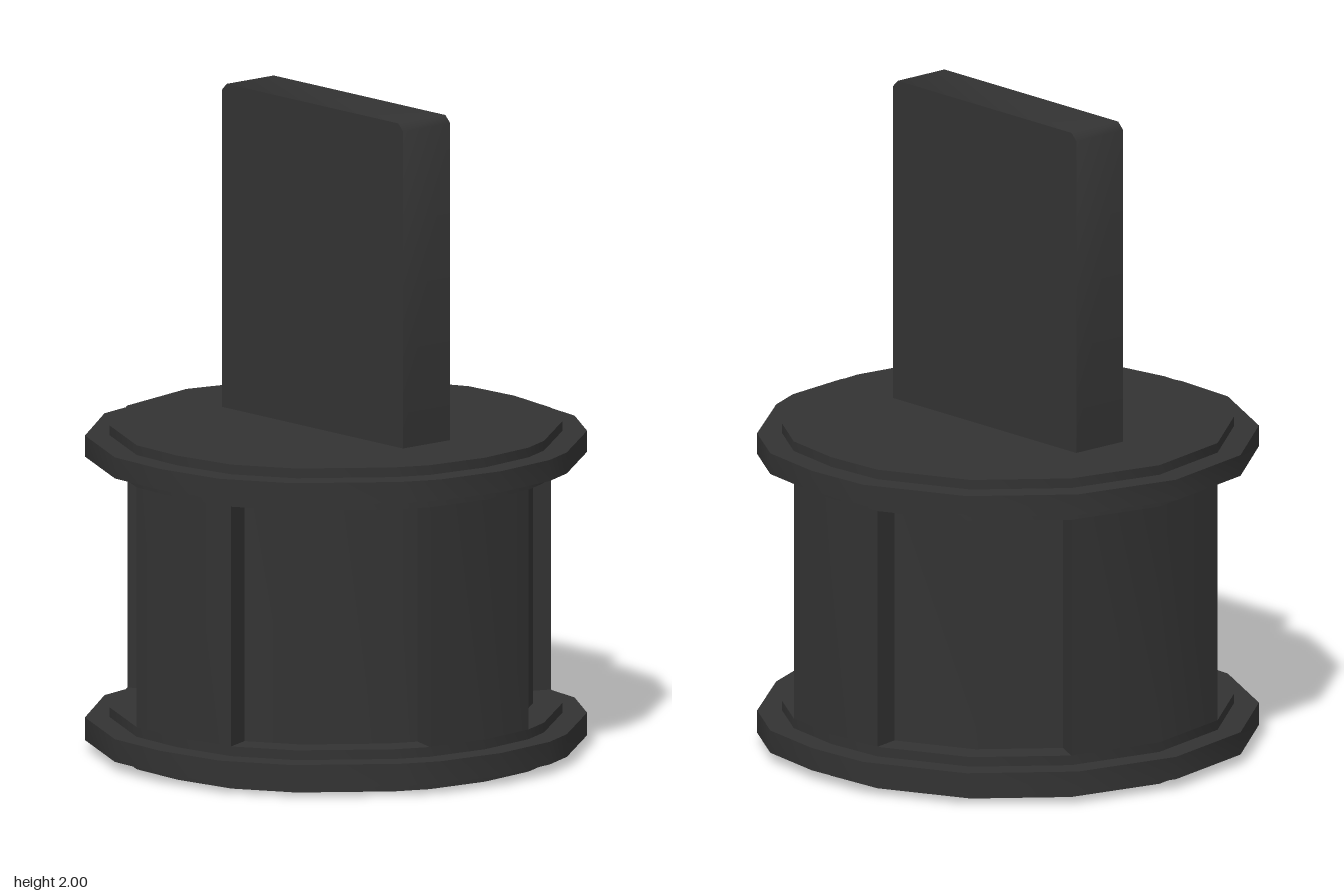
import * as THREE from 'three';
import { toCreasedNormals } from 'three/addons/utils/BufferGeometryUtils.js';

// Half of the many-sided outline, as unit points [x, z] from back to front
const half = [[0, -1], [0.434, -0.901], [0.781, -0.624], [0.975, -0.223], [0.99, 0.065],
  [0.94, 0.368], [0.781, 0.624], [0.44, 0.89], [0.29, 0.957], [0, 0.995]];
const recesses = [[1, 3], [5, 8]]; // first and last half-outline point of each recess

const mirrored = (pts) => [...pts, ...pts.slice(1, -1).reverse().map(([x, z]) => [-x, z])];
const scaled = (pts, r) => pts.map(([x, z]) => [x * r, z * r]);

// Half outline with the recesses cut radially inwards
function notchedHalf(depth) {
  const out = [];
  half.forEach((p, i) => {
    const inner = [p[0] * depth, p[1] * depth];
    const span = recesses.find(([a, b]) => i >= a && i <= b);
    if (!span) out.push(p);
    else if (i === span[0]) out.push(p, inner);
    else if (i === span[1]) out.push(inner, p);
    else out.push(inner);
  });
  return out;
}

export function createModel() {
  const group = new THREE.Group();
  const material = new THREE.MeshStandardMaterial({ color: 0x333333 });

  const add = (name, geometry, crease = 0.6) => {
    const mesh = new THREE.Mesh(toCreasedNormals(geometry, crease), material);
    mesh.name = name;
    group.add(mesh);
  };

  // Upright prism from a plan outline
  const slab = (name, pts, y0, y1) => {
    const shape = new THREE.Shape(pts.map(([x, z]) => new THREE.Vector2(x, -z)));
    const geometry = new THREE.ExtrudeGeometry(shape, { depth: y1 - y0, bevelEnabled: false });
    add(name, geometry.rotateX(-Math.PI / 2).translate(0, y0, 0));
  };

  // Drum with four recessed panels
  const plan = mirrored(half);
  slab('drumBase', scaled(plan, 0.685), 0, 0.13);
  slab('drumWall', scaled(mirrored(notchedHalf(0.87)), 0.685), 0.13, 0.87);
  slab('drumTop', scaled(plan, 0.685), 0.87, 1);

  // Projecting rims
  slab('lowerRim', scaled(plan, 0.76), 0.03, 0.1);
  slab('upperRim', scaled(plan, 0.76), 0.905, 0.97);

  // Upright blade with clipped top corners
  const w = 0.415, c = 0.022;
  const side = new THREE.Shape([[-w, 1], [w, 1], [w, 2 - c], [w - c, 2], [c - w, 2], [-w, 2 - c]]
    .map(([z, y]) => new THREE.Vector2(z, y)));
  const blade = new THREE.ExtrudeGeometry(side, { depth: 0.19, bevelEnabled: false });
  add('blade', blade.translate(0, 0, -0.095).rotateY(Math.PI / 2), 0.9);

  return group;
}
